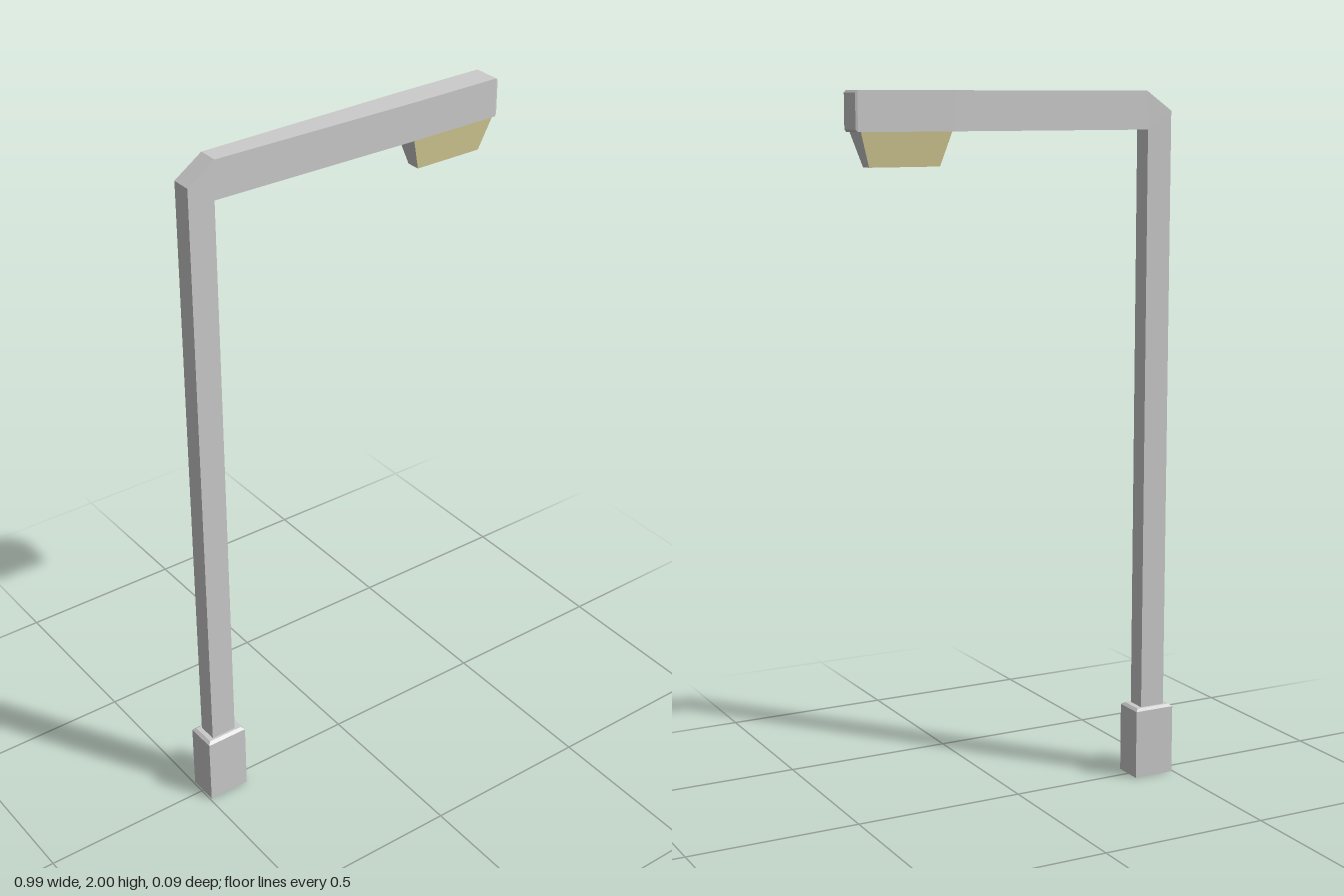
import * as THREE from 'three';

// One cross-section: a and b are opposite [x, y] edges, hz the half depth.
const section = ([a, b, hz]) => [[...a, hz], [...b, hz], [...b, -hz], [...a, -hz]];

// Flat-faced skin through the sections; sideMaterial picks a material index per side.
function loft(stations, { startCap = true, endCap = true, sideMaterial = () => 0 } = {}) {
  const rings = stations.map(section);
  const geometry = new THREE.BufferGeometry();
  const pos = [];
  const face = ([p, q, r, s], material) => {
    geometry.addGroup(pos.length / 3, 6, material);
    pos.push(...p, ...q, ...r, ...p, ...r, ...s);
  };
  for (let s = 0; s < rings.length - 1; s++) {
    for (let i = 0; i < 4; i++) {
      const j = (i + 1) % 4;
      face([rings[s][i], rings[s][j], rings[s + 1][j], rings[s + 1][i]], sideMaterial(i));
    }
  }
  if (startCap) face([...rings[0]].reverse(), 0);
  if (endCap) face(rings[rings.length - 1], 0);
  geometry.setAttribute('position', new THREE.Float32BufferAttribute(pos, 3));
  geometry.computeVertexNormals();
  return geometry;
}

export function createModel() {
  const metal = new THREE.MeshStandardMaterial({ color: 0xcccccc, side: THREE.DoubleSide });
  metal.name = 'light grey metal';
  const glass = new THREE.MeshStandardMaterial({ color: 0xe4daa0 });
  glass.name = 'pale yellow glass';

  const group = new THREE.Group();
  group.name = 'streetLamp';
  const add = (name, geometry) => {
    const mesh = new THREE.Mesh(geometry, [metal, glass]);
    mesh.name = name;
    group.add(mesh);
  };

  // Base sleeve, open underneath, with a bevelled top
  add('base', loft([
    [[-0.495, 0], [-0.371, 0], 0.045],
    [[-0.495, 0.203], [-0.371, 0.203], 0.045],
    [[-0.486, 0.21], [-0.38, 0.21], 0.036],
  ], { startCap: false }));

  // Pole bending at a cut-off elbow into an arm that widens to its end
  add('poleAndArm', loft([
    [[-0.472, 0.2], [-0.396, 0.2], 0.029],
    [[-0.472, 1.945], [-0.396, 1.893], 0.029],
    [[-0.392, 2], [-0.396, 1.893], 0.029],
    [[0.21, 2], [0.21, 1.893], 0.039],
    [[0.488, 2], [0.488, 1.893], 0.039],
    [[0.494, 1.994], [0.494, 1.899], 0.037],
  ], { startCap: false }));

  // Lamp housing: glass on the two long sides, metal ends and underside
  add('lampHead', loft([
    [[0.245, 1.801], [0.45, 1.801], 0.02],
    [[0.216, 1.895], [0.48, 1.895], 0.038],
  ], { endCap: false, sideMaterial: (i) => (i % 2 === 0 ? 1 : 0) }));

  return group;
}
